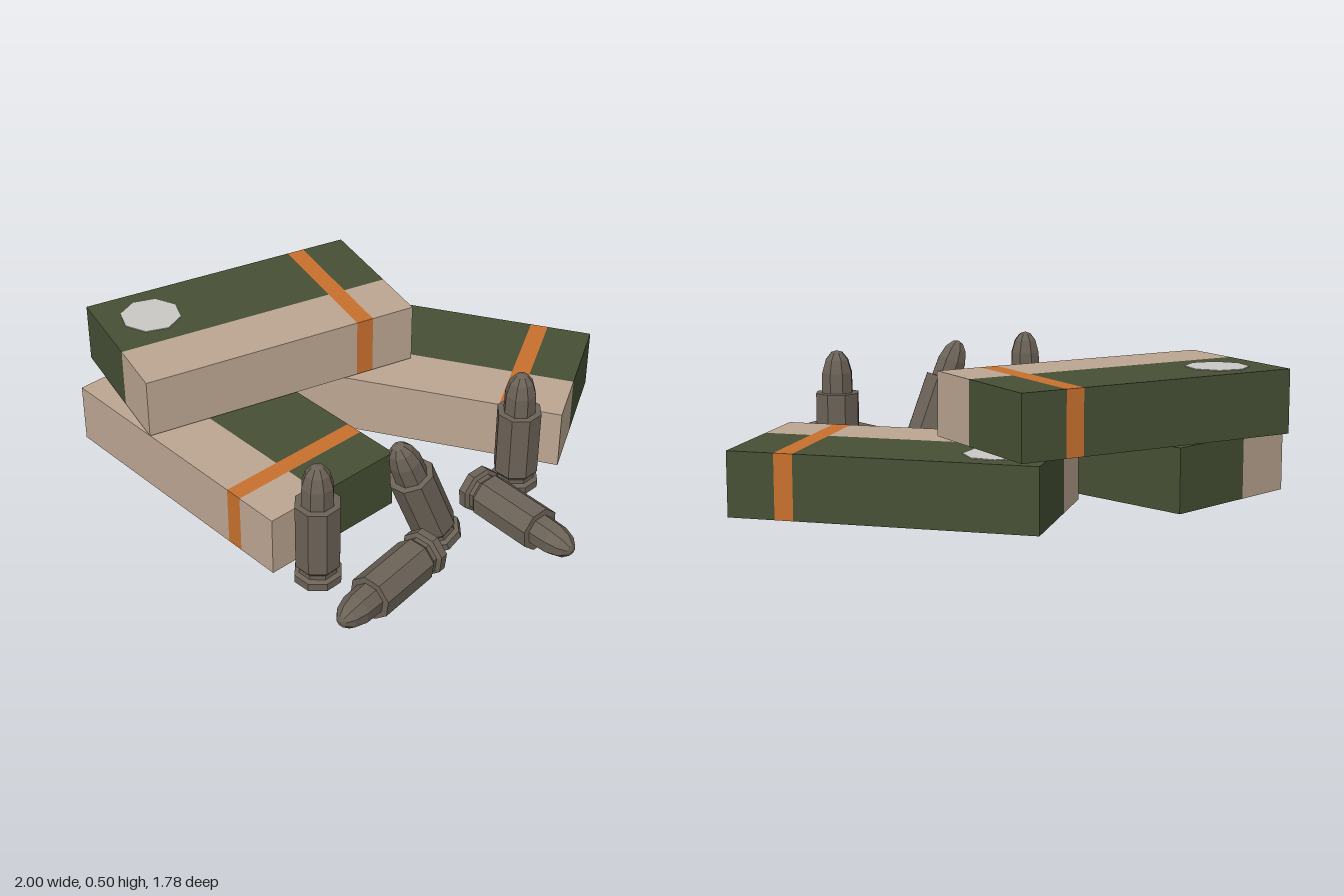
import * as THREE from 'three';

const LENGTH = 1.087, WIDTH = 0.576, HEIGHT = 0.23, GREEN_WIDTH = 0.348;
const STRIPE_START = 0.85, STRIPE_END = 0.917;

function material(name, color) {
  const m = new THREE.MeshStandardMaterial({ color });
  m.name = name;
  return m;
}

export function createModel() {
  const green = material('dark green', 0x465035);
  const tan = material('tan', 0xbca692);
  const orange = material('orange', 0xc8702e);
  const pale = material('pale grey', 0xcac8c4);
  const metal = material('dull metal', 0x6b6257);

  const model = new THREE.Group();
  model.name = 'ammunitionBoxesAndCartridges';

  // Block spanning x0..x1 along the carton and z0..z1 across it
  function block(parent, name, mat, x0, x1, z0, z1) {
    const mesh = new THREE.Mesh(new THREE.BoxGeometry(x1 - x0, HEIGHT, z1 - z0), mat);
    mesh.name = name;
    mesh.position.set((x0 + x1 - LENGTH) / 2, HEIGHT / 2, (z0 + z1 - WIDTH) / 2);
    parent.add(mesh);
  }

  // Carton: green and tan halves, orange band all round, pale round label on top
  function addCarton(name, x, y, z, turn) {
    const carton = new THREE.Group();
    carton.name = name;
    for (const [part, x0, x1] of [['Body', 0, STRIPE_START], ['End', STRIPE_END, LENGTH]]) {
      block(carton, 'green' + part, green, x0, x1, 0, GREEN_WIDTH);
      block(carton, 'tan' + part, tan, x0, x1, GREEN_WIDTH, WIDTH);
    }
    block(carton, 'orangeBand', orange, STRIPE_START, STRIPE_END, 0, WIDTH);

    const label = new THREE.Mesh(new THREE.CylinderGeometry(0.114, 0.114, 0.004, 8), pale);
    label.name = 'roundLabel';
    label.position.set(0.19 - LENGTH / 2, HEIGHT + 0.001, 0.17 - WIDTH / 2);
    label.rotation.y = -0.56;
    carton.add(label);

    carton.position.set(x, y, z);
    carton.rotation.y = turn;
    model.add(carton);
  }
  addCarton('topCarton', -0.43, 0.26, -0.21, 0.883);
  addCarton('backCarton', 0.21, 0.02, -0.553, 0.1);
  addCarton('frontCarton', -0.325, 0.02, 0.17, -0.427);

  // Cartridge: eight-sided turned profile with rim, groove, case and bullet
  const profile = [
    [0, 0], [0.087, 0], [0.087, 0.03], [0.071, 0.038], [0.071, 0.055], [0.083, 0.07],
    [0.083, 0.325], [0.06, 0.326], [0.058, 0.4], [0.044, 0.448], [0.022, 0.475], [0, 0.482],
  ].map(([r, y]) => new THREE.Vector2(r, y));
  const cartridgeShape = new THREE.LatheGeometry(profile, 8).toNonIndexed();
  cartridgeShape.computeVertexNormals();

  const up = new THREE.Vector3(0, 1, 0);
  function addCartridge(name, base, direction) {
    const mesh = new THREE.Mesh(cartridgeShape, metal);
    mesh.name = name;
    mesh.position.set(...base);
    mesh.quaternion.setFromUnitVectors(up, new THREE.Vector3(...direction).normalize());
    model.add(mesh);
  }
  addCartridge('standingCartridgeFront', [0.2, 0.02, 0.61], [0, 1, 0]);
  addCartridge('standingCartridgeBack', [0.66, 0.02, -0.165], [0, 1, 0]);
  addCartridge('leaningCartridge', [0.515, 0.034, 0.255], [-0.12, 0.45, 0.125]);
  addCartridge('lyingCartridgeSide', [0.57, 0.102, 0.025], [0.89, 0.01, 0.455]);
  addCartridge('lyingCartridgeFront', [0.53, 0.098, 0.42], [-0.278, 0, 0.96]);

  return model;
}
